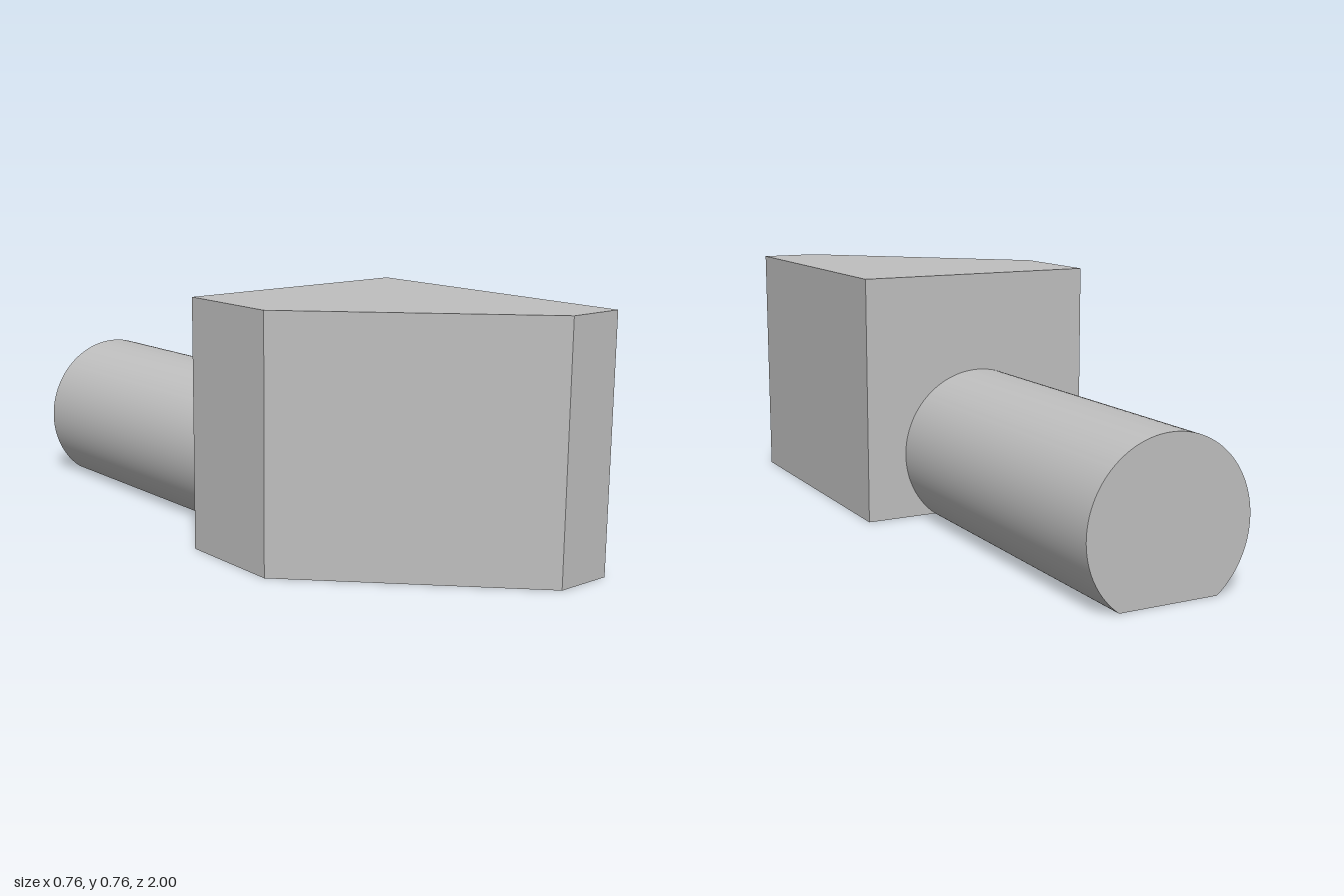
import * as THREE from 'three';
import { toCreasedNormals } from 'three/addons/utils/BufferGeometryUtils.js';

export function createModel() {
  const model = new THREE.Group();
  model.name = 'latchBolt';

  const steel = new THREE.MeshStandardMaterial({ color: 0xbfbfbf });
  steel.name = 'steel grey';

  const height = 0.76, halfWidth = 0.38, backZ = 0.075;

  // Bevelled head: plan outline (x, -z) extruded upwards
  const plan = new THREE.Shape([
    [-halfWidth, -0.415], [0.2, -1], [halfWidth, -1],
    [halfWidth, -backZ], [-halfWidth, -backZ],
  ].map(([x, y]) => new THREE.Vector2(x, y)));
  const headGeometry = new THREE.ExtrudeGeometry(plan, { depth: height, bevelEnabled: false });
  headGeometry.rotateX(-Math.PI / 2);
  const head = new THREE.Mesh(headGeometry, steel);
  head.name = 'bevelledHead';
  model.add(head);

  // Round shaft with a flat cut along its underside
  const radius = 0.253, axisY = 0.202;
  const cut = Math.asin(axisY / radius);
  const section = new THREE.Shape();
  section.absarc(0, axisY, radius, -cut, Math.PI + cut, false);
  section.closePath();
  const shaftGeometry = new THREE.ExtrudeGeometry(section, {
    depth: 1 + backZ, bevelEnabled: false, curveSegments: 64,
  });
  shaftGeometry.translate(0, 0, -1);
  const shaft = new THREE.Mesh(toCreasedNormals(shaftGeometry, 0.35), steel);
  shaft.name = 'shaft';
  model.add(shaft);

  return model;
}
